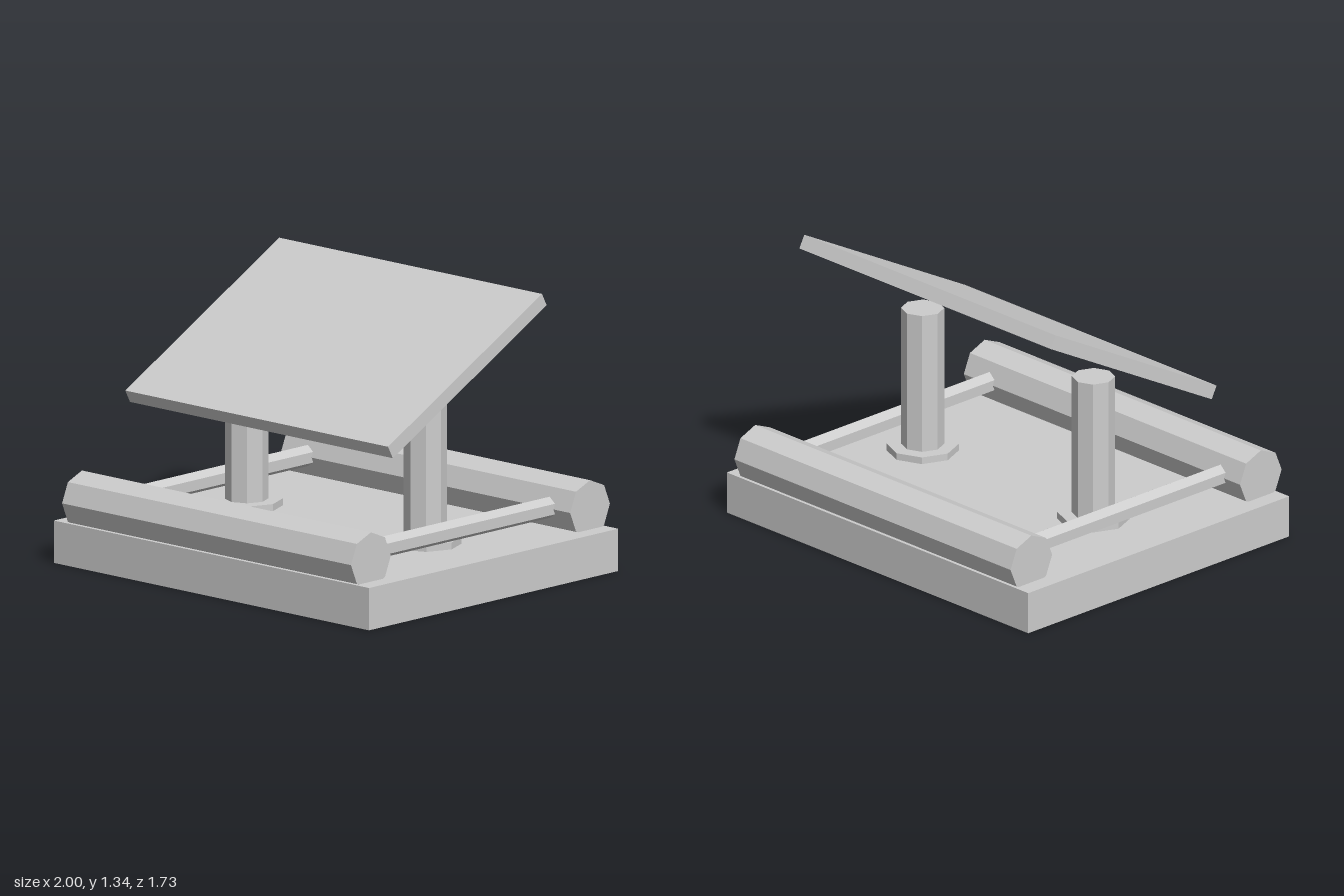
import * as THREE from 'three';

export function createModel() {
  const model = new THREE.Group();
  const grey = new THREE.MeshStandardMaterial({ color: 0xcccccc, flatShading: true });
  grey.name = 'light grey';

  const add = (name, geometry, x, y, z) => {
    const mesh = new THREE.Mesh(geometry, grey);
    mesh.name = name;
    mesh.position.set(x, y, z);
    model.add(mesh);
    return mesh;
  };
  const prism = (radius, length, sides) =>
    new THREE.CylinderGeometry(radius, radius, length, sides);

  // Base slab
  add('base', new THREE.BoxGeometry(2, 0.2, 1.667), 0, 0.1, 0);

  // Tilted panel, high at the back
  add('tiltedPanel', new THREE.BoxGeometry(1.667, 0.067, 1.167), 0, 1.035, 0).rotation.x = 0.49;

  for (const side of [1, -1]) {
    const word = side > 0 ? 'left' : 'right';
    // Octagonal post with its foot flange
    add(word + 'Post', prism(0.1, 0.71, 8), side * 0.567, 0.555, 0);
    add(word + 'PostFlange', prism(0.167, 0.033, 8), side * 0.567, 0.2165, 0);
    // Hexagonal side rail, its ends inside the cross bars
    add(word + 'Rail', prism(0.05, 1.4, 6), side * 0.767, 0.3, 0).rotation.x = Math.PI / 2;
    // Octagonal cross bar at the front or back, sunk slightly into the base
    add(side > 0 ? 'frontBar' : 'backBar', prism(0.133, 1.833, 8), 0, 0.3, side * 0.733)
      .rotation.z = Math.PI / 2;
  }
  return model;
}
